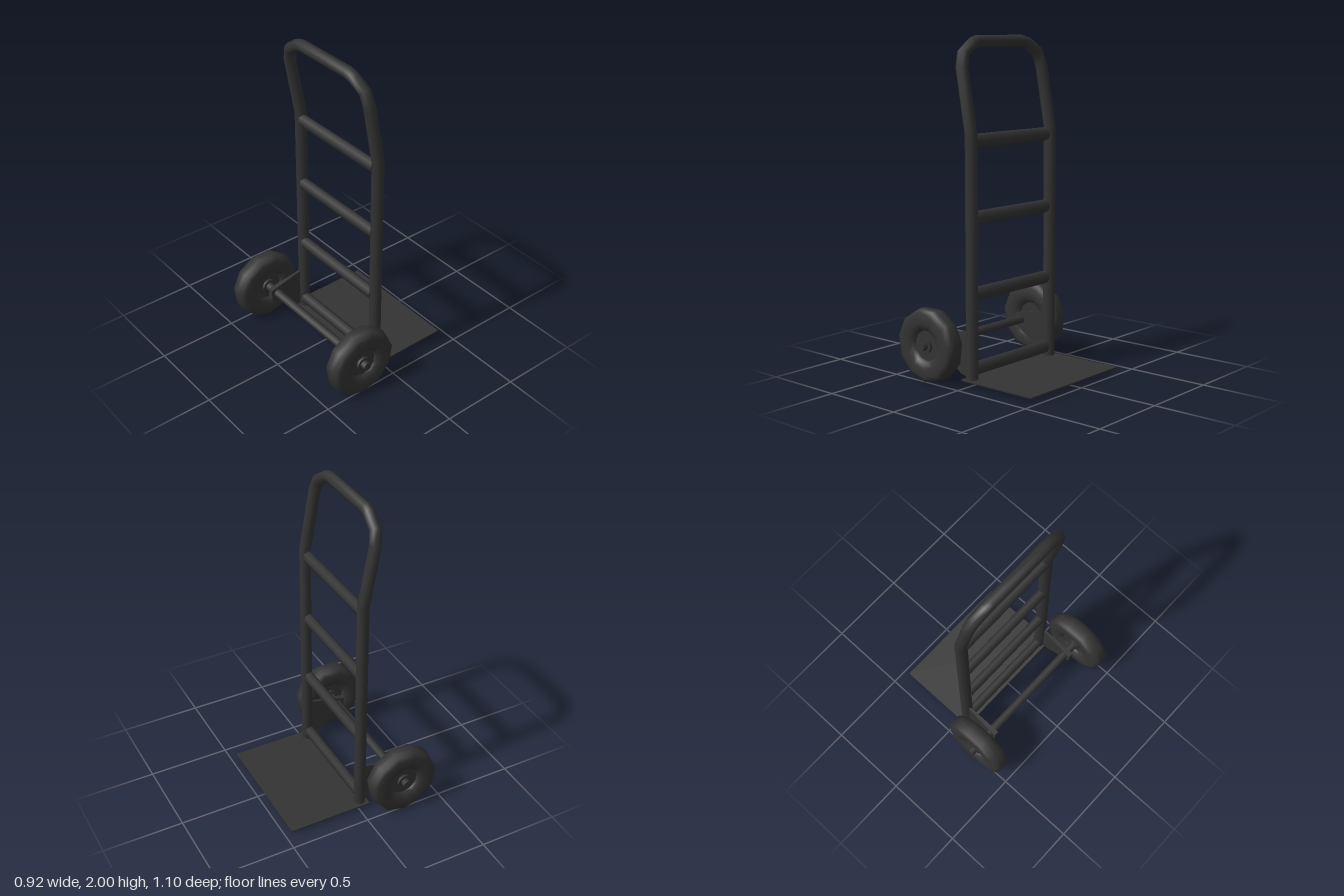
import * as THREE from 'three';

const material = new THREE.MeshStandardMaterial({ color: 0x333333, side: THREE.DoubleSide });

function add(parent, name, geometry, x = 0, y = 0, z = 0) {
  const mesh = new THREE.Mesh(geometry, material);
  mesh.name = name;
  mesh.position.set(x, y, z);
  parent.add(mesh);
  return mesh;
}

// Straight pipe runs joined by mitred corners, one tube ring per point
class PipePath extends THREE.Curve {
  constructor(points) {
    super();
    this.points = points;
  }
  getPoint(t, target = new THREE.Vector3()) {
    const s = t * (this.points.length - 1);
    const i = Math.min(Math.floor(s + 1e-6), this.points.length - 2);
    return target.lerpVectors(this.points[i], this.points[i + 1], s - i);
  }
  getPointAt(u, target) {
    return this.getPoint(u, target);
  }
  getTangentAt(u, target = new THREE.Vector3()) {
    const p = this.points, i = Math.round(u * (p.length - 1));
    target.set(0, 0, 0);
    if (i > 0) target.add(p[i].clone().sub(p[i - 1]).normalize());
    if (i < p.length - 1) target.add(p[i + 1].clone().sub(p[i]).normalize());
    return target.normalize();
  }
}

// Cylinder lying along z
function zCylinder(radius, length, sides) {
  return new THREE.CylinderGeometry(radius, radius, length, sides).rotateX(Math.PI / 2);
}

export function createModel() {
  const model = new THREE.Group();
  model.name = 'handTruck';

  // Bent frame: up one side, across the handle, down the other
  const half = [
    [-0.025, 0.03, 0.35], [-0.025, 1.45, 0.35], [-0.092, 1.82, 0.35],
    [-0.104, 1.9, 0.325], [-0.113, 1.955, 0.24], [-0.115, 1.966, 0.2],
  ].map(p => new THREE.Vector3(...p));
  const mirrored = half.map(p => new THREE.Vector3(p.x, p.y, -p.z)).reverse();
  const path = [...half, ...mirrored];
  add(model, 'frame', new THREE.TubeGeometry(new PipePath(path), path.length - 1, 0.036, 8));

  // Cross bars, slightly flattened front to back
  for (const y of [0.09, 0.53, 0.97, 1.41]) {
    const bar = add(model, 'crossBar', zCylinder(0.041, 0.66, 8), -0.03, y);
    bar.scale.x = 0.75;
  }

  // Toe plate
  add(model, 'toePlate', new THREE.BoxGeometry(0.53, 0.008, 0.8), 0.195, 0.03);

  // Axle
  const axleX = -0.243, axleY = 0.225;
  add(model, 'axle', zCylinder(0.027, 1.1, 8), axleX, axleY);

  // Bracket plate, thicker towards the axle
  const outline = [[-0.03, 0.04], [-0.1, 0.055], [-0.288, 0.19], [-0.288, 0.26], [-0.03, 0.31]];
  const shape = new THREE.Shape(outline.map(p => new THREE.Vector2(...p)));
  const bracket = new THREE.ExtrudeGeometry(shape, { depth: 1, bevelEnabled: false });
  const pos = bracket.attributes.position;
  for (let i = 0; i < pos.count; i++) {
    const k = THREE.MathUtils.clamp((-0.06 - pos.getX(i)) / 0.228, 0, 1);
    pos.setZ(i, (pos.getZ(i) - 0.5) * (0.012 + 0.022 * k));
  }
  bracket.computeVertexNormals();

  // Tyre section: half-thickness profile mirrored about the wheel's middle
  const side = [[0.09, 0.025], [0.1, 0.046], [0.135, 0.059], [0.185, 0.059], [0.213, 0.046], [0.22, 0.015]];
  const profile = [
    ...side.map(([r, t]) => new THREE.Vector2(r, -t)),
    ...side.map(([r, t]) => new THREE.Vector2(r, t)).reverse(),
  ];
  const tyre = new THREE.LatheGeometry(profile, 11).rotateX(Math.PI / 2);

  for (const s of [1, -1]) {
    add(model, 'axleBracket', bracket, 0, 0, s * 0.355);
    const wheel = new THREE.Group();
    wheel.name = 'wheel';
    wheel.position.set(axleX, axleY, s * 0.472);
    add(wheel, 'tyre', tyre);
    add(wheel, 'hub', zCylinder(0.094, 0.056, 11));
    add(wheel, 'hubBoss', zCylinder(0.045, 0.09, 8));
    model.add(wheel);
  }
  return model;
}
